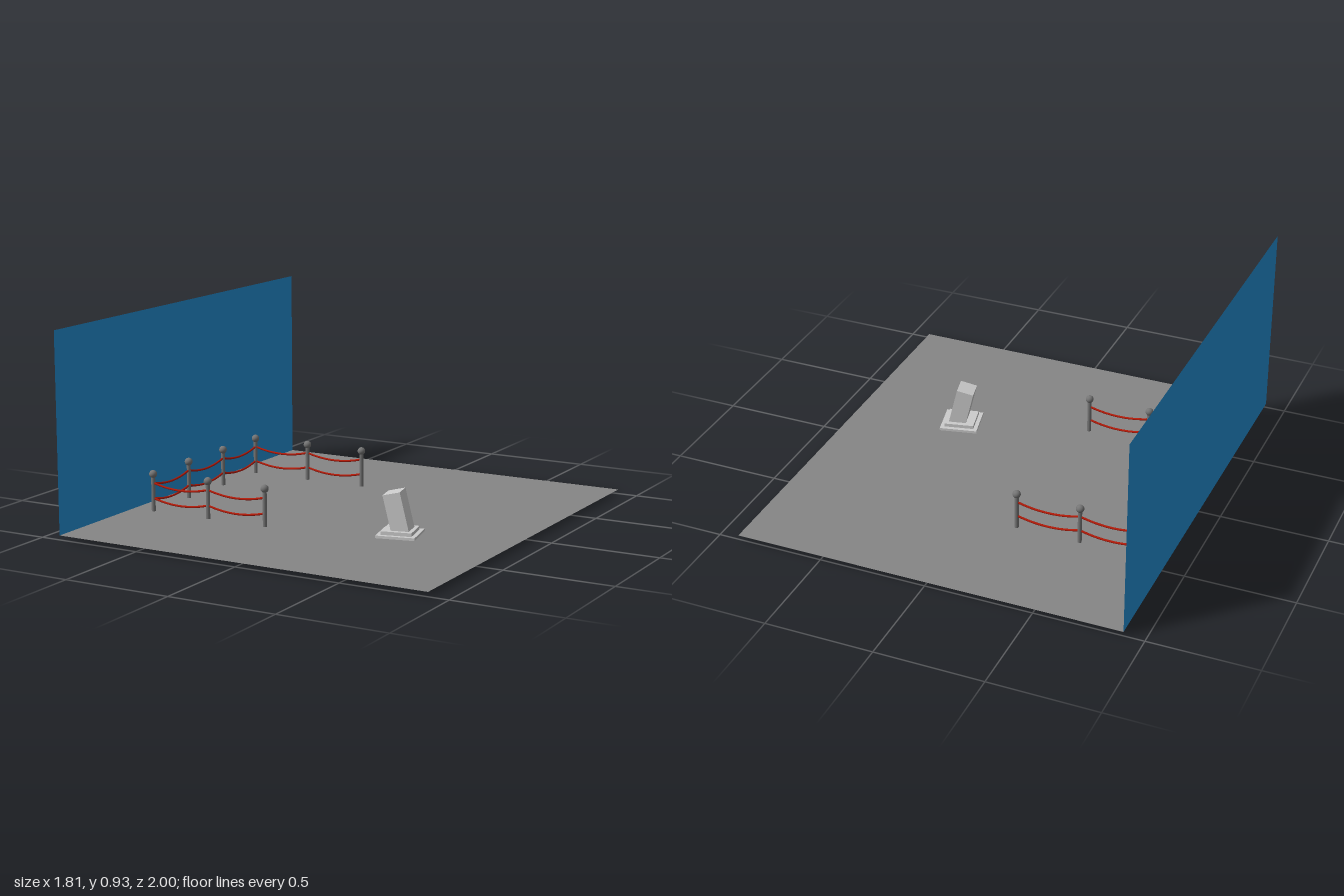
import * as THREE from 'three';

const mat = (name, color, side = THREE.FrontSide) => {
  const m = new THREE.MeshStandardMaterial({ color, side });
  m.name = name;
  return m;
};

export function createModel() {
  const model = new THREE.Group();
  const floorGrey = mat('floorGrey', 0x868686, THREE.DoubleSide);
  const wallBlue = mat('wallBlue', 0x248dd0, THREE.DoubleSide);
  const postGrey = mat('postGrey', 0x757575);
  const ropeRed = mat('ropeRed', 0xb51a08);
  const stone = mat('paleGrey', 0xcccccc);

  const add = (parent, name, geometry, material, x = 0, y = 0, z = 0) => {
    const mesh = new THREE.Mesh(geometry, material);
    mesh.name = name;
    mesh.position.set(x, y, z);
    parent.add(mesh);
    return mesh;
  };

  // Floor and wall sheets
  const floorY = 0.02, halfX = 0.906, wallH = 0.91;
  add(model, 'floor', new THREE.PlaneGeometry(2 * halfX, 2).rotateX(-Math.PI / 2), floorGrey, 0, floorY, 0);
  add(model, 'wall', new THREE.PlaneGeometry(2, wallH).rotateY(Math.PI / 2), wallBlue, -halfX, floorY + wallH / 2, 0);

  // Rope barrier, walked post by post around three sides
  const stops = [
    [-0.2, -0.46], [-0.5, -0.46], [-0.797, -0.46], [-0.797, -0.162],
    [-0.797, 0.137], [-0.797, 0.431], [-0.5, 0.431], [-0.2, 0.431],
  ];
  const poleGeo = new THREE.CylinderGeometry(0.0095, 0.0095, 0.185, 16);
  const ballGeo = new THREE.SphereGeometry(0.0185, 20, 14);
  const barrier = new THREE.Group();
  barrier.name = 'ropeBarrier';
  model.add(barrier);
  stops.forEach(([x, z], i) => {
    const post = new THREE.Group();
    post.name = 'post';
    post.position.set(x, 0, z);
    add(post, 'pole', poleGeo, postGrey, 0, 0.0925, 0);
    add(post, 'ballCap', ballGeo, postGrey, 0, 0.194, 0);
    barrier.add(post);
    if (i === 0) return;
    // Two sagging ropes back to the previous post
    const [px, pz] = stops[i - 1];
    for (const y of [0.153, 0.081]) {
      const points = [];
      for (let k = 0; k <= 8; k++) {
        const t = k / 8;
        points.push(new THREE.Vector3(px + (x - px) * t, y - 0.021 * 4 * t * (1 - t), pz + (z - pz) * t));
      }
      add(barrier, 'rope', new THREE.TubeGeometry(new THREE.CatmullRomCurve3(points), 20, 0.005, 8), ropeRed);
    }
  });

  // Leaning pedestal on a stepped base
  const pedestal = new THREE.Group();
  pedestal.name = 'pedestal';
  pedestal.position.set(0.391, 0, 0.262);
  pedestal.rotation.y = 0.22;
  model.add(pedestal);
  add(pedestal, 'lowerStep', new THREE.BoxGeometry(0.178, 0.015, 0.178), stone, 0, 0.0245, 0);
  add(pedestal, 'upperStep', new THREE.BoxGeometry(0.14, 0.016, 0.14), stone, 0, 0.04, 0);
  const column = add(pedestal, 'column', new THREE.BoxGeometry(0.08, 0.19, 0.097).translate(0, 0.095, 0), stone, 0.016, 0.0285, 0);
  column.rotation.z = 0.235;

  return model;
}
